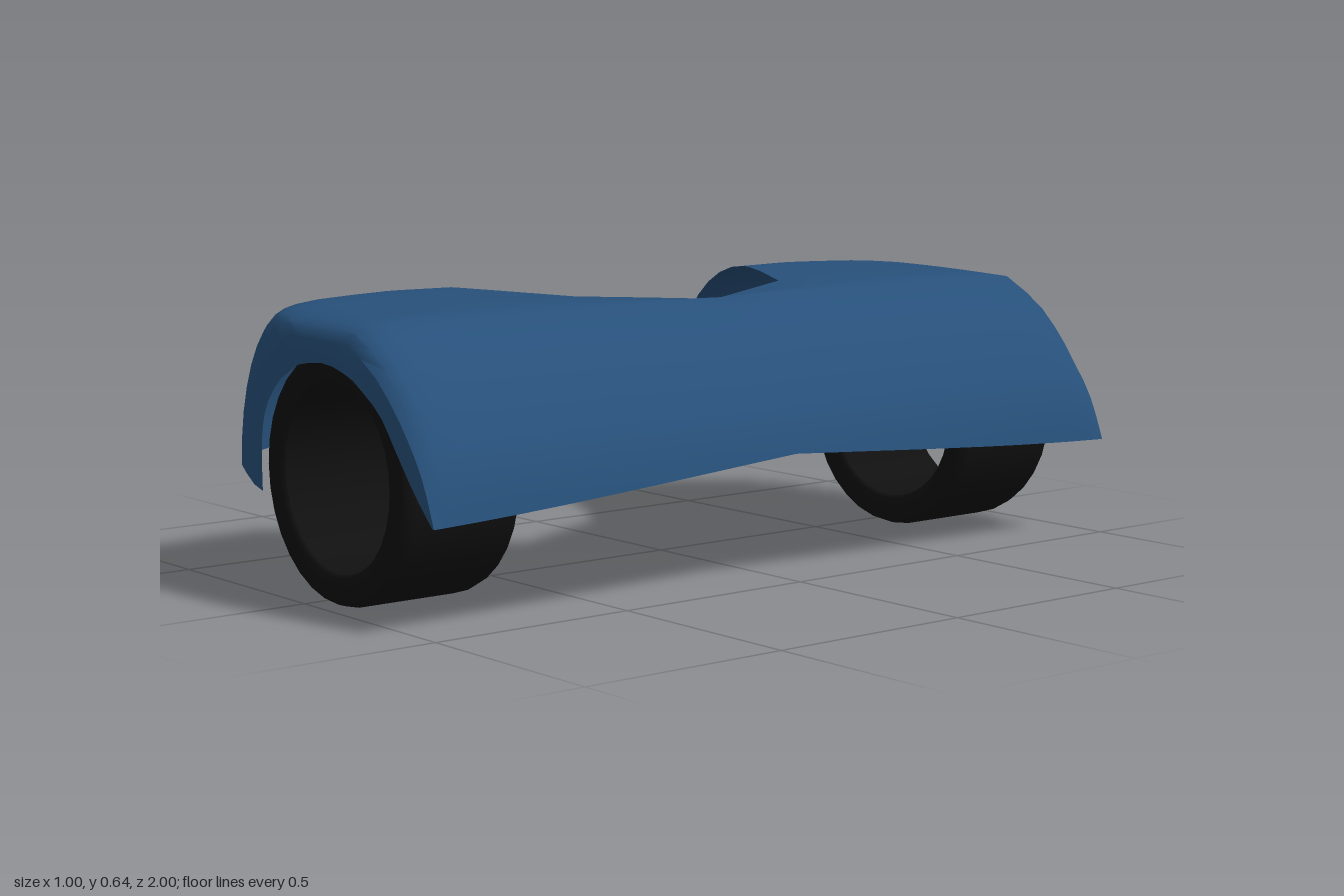
import * as THREE from 'three';
import { toCreasedNormals } from 'three/addons/utils/BufferGeometryUtils.js';

const NOSE = 9, DECK = 5, TAIL = 10; // columns in each stretch of a cross-section
const lerp = THREE.MathUtils.lerp;
const spline = (pts) => new THREE.SplineCurve(pts.map(([x, y]) => new THREE.Vector2(x, y)));

// Sloping rear profile, from the deck edge down to the lower lip
const tailCurve = spline([[0.21, 0.628], [0.3, 0.572], [0.37, 0.5], [0.42, 0.43], [0.46, 0.36], [0.485, 0.29], [0.499, 0.233]]);

// Wheel arch opening in the side panel, in the same three stretches
const archNose = spline([[-0.165, 0.228], [-0.165, 0.34], [-0.145, 0.415], [-0.09, 0.48], [-0.01, 0.524]]);
const archDeck = spline([[-0.01, 0.524], [0.07, 0.536], [0.14, 0.53], [0.205, 0.51]]);
const archTail = spline([[0.205, 0.51], [0.3, 0.452], [0.36, 0.382], [0.43, 0.298], [0.493, 0.234]]);

// Half-width stations: z, nose x, deck start x, top y, corner drop
const stations = [
  [0, 0, 0.2, 0.62, 0.004],
  [0.155, 0, 0.137, 0.628, 0.001],
  [0.31, 0, 0.07, 0.635, 0],
  [0.4, 0, -0.1, 0.641, 0],
  [0.44, 0, -0.19, 0.643, 0],
  [0.45, -0.5, -0.22, 0.643, 0],
  [0.6, -0.494, -0.22, 0.645, 0],
  [0.7, -0.482, -0.21, 0.643, 0],
  [0.8, -0.458, -0.2, 0.64, 0],
  [0.87, -0.42, -0.18, 0.636, 0.001],
  [0.92, -0.38, -0.15, 0.632, 0.004],
  [0.96, -0.32, -0.11, 0.624, 0.01],
  [0.985, -0.26, -0.06, 0.611, 0.022],
  [1, -0.2, -0.01, 0.585, 0.045],
];
const FENDER_Z = 0.45; // the nose exists only outside this half-width

function section([z, noseX, deckX, topY, drop]) {
  const pts = [];
  const bottomY = noseX < -0.28 ? lerp(0.262, 0.275, (-0.28 - noseX) / 0.22) : lerp(0.238, 0.262, (-0.2 - noseX) / 0.08);
  for (let i = 0; i < NOSE; i++) {
    const a = (i / NOSE) * Math.PI / 2;
    pts.push(z < FENDER_Z ? [deckX, topY]
      : [deckX - (deckX - noseX) * Math.cos(a), bottomY + (topY - bottomY) * Math.sin(a)]);
  }
  for (let i = 0; i < DECK; i++) {
    const t = i / DECK;
    pts.push([lerp(deckX, 0.21 - drop * 0.6, t), lerp(topY, 0.628 - drop, t * t)]);
  }
  const end = lerp(0.83, 1, z);
  for (let i = 0; i <= TAIL; i++) {
    const s = i / TAIL, p = tailCurve.getPoint(s * end);
    pts.push([p.x - drop * 0.6 * (1 - s), p.y - drop * (1 - s)]);
  }
  return { z, pts };
}

function archSection() {
  const pts = [];
  for (let i = 0; i < NOSE; i++) pts.push(archNose.getPoint(i / NOSE).toArray());
  for (let i = 0; i < DECK; i++) pts.push(archDeck.getPoint(i / DECK).toArray());
  for (let i = 0; i <= TAIL; i++) pts.push(archTail.getPoint(i / TAIL).toArray());
  return { z: 1, pts };
}

// Skin lofted across the mirrored sections
function shellGeometry() {
  const half = [...stations.map(section), archSection()];
  const rows = [...half.slice(1).reverse().map((r) => ({ z: -r.z, pts: r.pts })), ...half];
  const cols = NOSE + DECK + TAIL + 1;
  const positions = [], index = [];
  for (const { z, pts } of rows) for (const [x, y] of pts) positions.push(x, y, z);
  for (let r = 0; r < rows.length - 1; r++) {
    const open = Math.min(Math.abs(rows[r].z), Math.abs(rows[r + 1].z)) < FENDER_Z;
    for (let c = open ? NOSE : 0; c < cols - 1; c++) {
      const a = r * cols + c, b = a + cols;
      index.push(a, b, a + 1, b, b + 1, a + 1);
    }
  }
  const g = new THREE.BufferGeometry();
  g.setAttribute('position', new THREE.Float32BufferAttribute(positions, 3));
  g.setIndex(index);
  return toCreasedNormals(g, 0.6);
}

// Hollow tyre with rounded shoulders
function tyreGeometry() {
  const profile = [[0.21, 0.14], [0.21, -0.14], [0.217, -0.15], [0.262, -0.15], [0.276, -0.143], [0.282, -0.125],
    [0.282, 0.125], [0.276, 0.143], [0.262, 0.15], [0.217, 0.15], [0.21, 0.14]];
  const g = new THREE.LatheGeometry(profile.map(([r, y]) => new THREE.Vector2(r, y)), 32);
  return g.rotateX(Math.PI / 2);
}

export function createModel() {
  const paint = new THREE.MeshStandardMaterial({ color: 0x27507a, side: THREE.DoubleSide });
  paint.name = 'blue paint';
  const rubber = new THREE.MeshStandardMaterial({ color: 0x101010, side: THREE.DoubleSide });
  rubber.name = 'black rubber';

  const model = new THREE.Group();
  model.name = 'fenderAndTyres';

  const shell = new THREE.Mesh(shellGeometry(), paint);
  shell.name = 'fenderShell';
  model.add(shell);

  const tyre = tyreGeometry();
  for (const [name, side] of [['frontTyre', 1], ['backTyre', -1]]) {
    const mesh = new THREE.Mesh(tyre, rubber);
    mesh.name = name;
    mesh.position.set(0.077, 0.282, side * 0.82);
    model.add(mesh);
  }
  return model;
}
